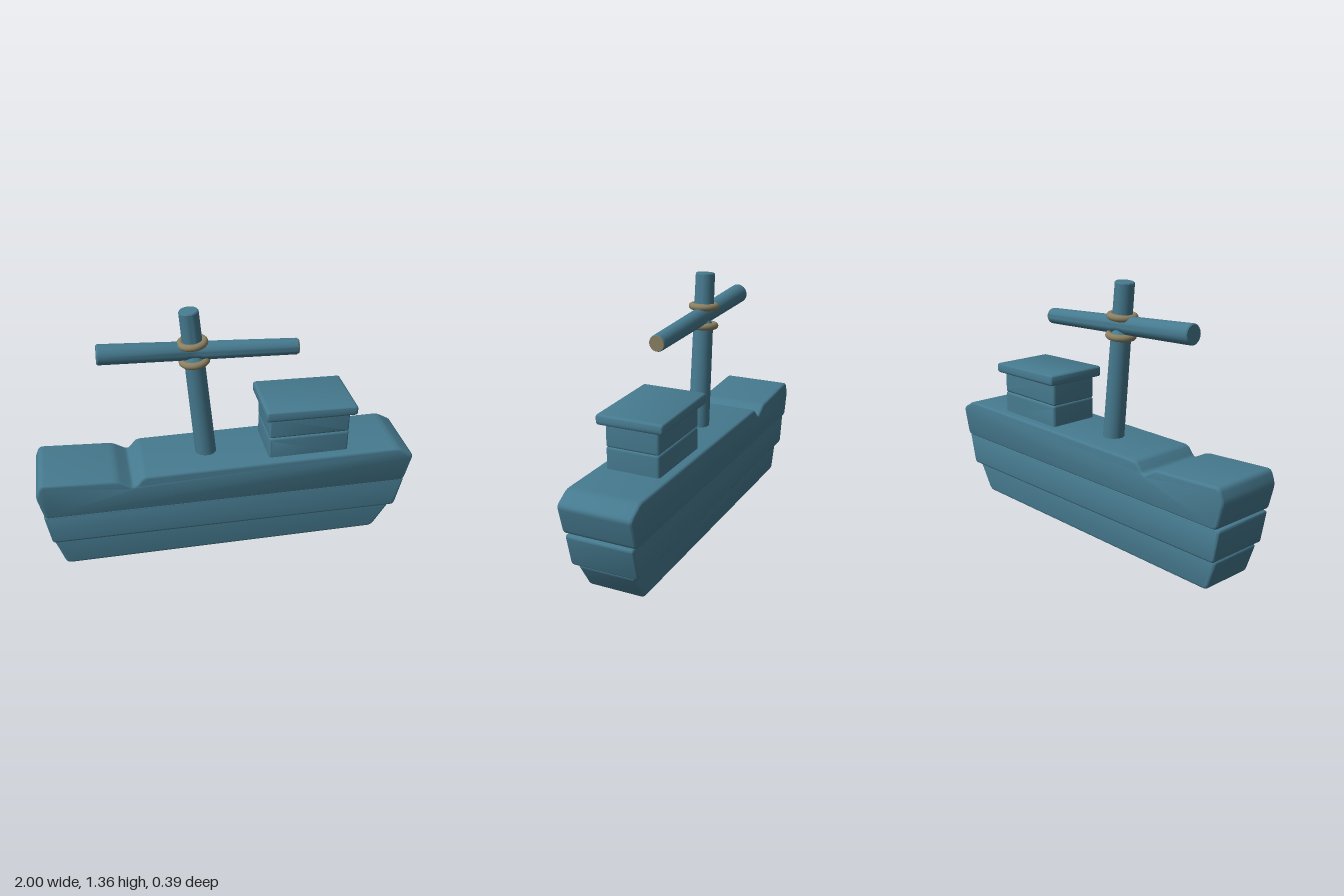
import * as THREE from 'three';
import { toCreasedNormals } from 'three/addons/utils/BufferGeometryUtils.js';

const blue = new THREE.MeshStandardMaterial({ color: 0x467a8f });
blue.name = 'weathered blue';
const tan = new THREE.MeshStandardMaterial({ color: 0x8a8062 });
tan.name = 'rope tan';

function add(parent, name, geometry, material) {
  const mesh = new THREE.Mesh(geometry, material);
  mesh.name = name;
  parent.add(mesh);
  return mesh;
}

// Side profile (counter-clockwise) with softened corners
function roundedShape(points, r) {
  const shape = new THREE.Shape();
  const v = points.map(([x, y]) => new THREE.Vector2(x, y));
  v.forEach((p, i) => {
    const prev = v[(i + v.length - 1) % v.length], next = v[(i + 1) % v.length];
    const a = prev.clone().sub(p).setLength(r).add(p);
    const b = next.clone().sub(p).setLength(r).add(p);
    if (i === 0) shape.moveTo(a.x, a.y);
    else shape.lineTo(a.x, a.y);
    shape.quadraticCurveTo(p.x, p.y, b.x, b.y);
  });
  shape.closePath();
  return shape;
}

// A plank: a profile extruded across the boat with soft edges
function plank(points, zMin, zMax, r = 0.02) {
  const bevel = 0.015;
  const geometry = new THREE.ExtrudeGeometry(roundedShape(points, r), {
    depth: zMax - zMin - 2 * bevel, curveSegments: 5,
    bevelEnabled: true, bevelThickness: bevel, bevelSize: bevel,
    bevelOffset: -bevel, bevelSegments: 4,
  });
  geometry.translate(0, 0, zMin + bevel);
  return toCreasedNormals(geometry, 0.6);
}

// A tapered pole with a carved waist, from one point to another
function pole(from, to, r0, r1, waistAt, waistRadius, waistHalf) {
  const length = from.distanceTo(to);
  const rad = (t) => r0 + (r1 - r0) * t;
  const h = waistHalf / length;
  const profile = [
    [0, 0], [rad(0) - 0.005, 0], [rad(0), 0.006],
    [rad(waistAt - h), (waistAt - h) * length],
    [waistRadius, (waistAt - h * 0.5) * length],
    [waistRadius, (waistAt + h * 0.5) * length],
    [rad(waistAt + h), (waistAt + h) * length],
    [rad(1), length - 0.006], [rad(1) - 0.005, length], [0, length],
  ].map(([x, y]) => new THREE.Vector2(x, y));
  const geometry = toCreasedNormals(new THREE.LatheGeometry(profile, 32), 0.5);
  const dir = to.clone().sub(from).normalize();
  geometry.applyQuaternion(new THREE.Quaternion().setFromUnitVectors(new THREE.Vector3(0, 1, 0), dir));
  return geometry.translate(from.x, from.y, from.z);
}

export function createModel() {
  const model = new THREE.Group();
  model.name = 'boat';

  // Hull: three stacked planks, widening upward
  const hull = new THREE.Group();
  hull.name = 'hull';
  model.add(hull);
  add(hull, 'lowerHull', plank([
    [-0.885, 0.003], [0.82, 0.014], [0.918, 0.169], [-0.942, 0.169],
  ], -0.147, 0.15, 0.025), blue);
  add(hull, 'middleHull', plank([
    [-0.945, 0.168], [0.928, 0.168], [0.971, 0.344], [-0.977, 0.344],
  ], -0.177, 0.178), blue);
  add(hull, 'upperHull', plank([
    [-0.968, 0.343], [0.96, 0.343], [1.002, 0.502], [0.915, 0.552],
    [-0.455, 0.541], [-0.503, 0.481], [-0.585, 0.53], [-0.975, 0.552], [-1.002, 0.48],
  ], -0.192, 0.194, 0.024), blue);

  // Cabin: two courses under an overhanging roof
  const cabin = new THREE.Group();
  cabin.name = 'cabin';
  model.add(cabin);
  const box = (x0, x1, y0, y1) => [[x0, y0], [x1, y0], [x1, y1], [x0, y1]];
  add(cabin, 'lowerCabin', plank(box(0.214, 0.643, 0.51, 0.662), -0.142, 0.143, 0.012), blue);
  add(cabin, 'upperCabin', plank(box(0.214, 0.643, 0.66, 0.79), -0.142, 0.143, 0.012), blue);
  add(cabin, 'cabinRoof', plank([
    [0.188, 0.78], [0.673, 0.775], [0.673, 0.828], [0.188, 0.839],
  ], -0.177, 0.178, 0.018), blue);

  // Leaning mast and the yard lashed across it
  const mastFoot = new THREE.Vector3(-0.097, 0.5, 0);
  const mastTop = new THREE.Vector3(-0.177, 1.358, 0);
  add(model, 'mast', pole(mastFoot, mastTop, 0.056, 0.05, 0.74, 0.036, 0.045), blue);
  const yardLeft = new THREE.Vector3(-0.636, 1.16, 0);
  const yardRight = new THREE.Vector3(0.38, 1.115, 0);
  add(model, 'yard', pole(yardLeft, yardRight, 0.052, 0.042, 0.472, 0.042, 0.045), blue);

  // Bare wood at one end of the yard
  const end = add(model, 'yardEnd', new THREE.CylinderGeometry(0.039, 0.039, 0.004, 32), tan);
  end.position.copy(yardRight);
  end.quaternion.setFromUnitVectors(new THREE.Vector3(0, 1, 0), yardRight.clone().sub(yardLeft).normalize());

  // Rope rings above and below the yard
  const mastDir = mastTop.clone().sub(mastFoot).normalize();
  for (const [name, y] of [['upperRing', 1.184], ['lowerRing', 1.084]]) {
    const ring = add(model, name, new THREE.TorusGeometry(0.062, 0.018, 14, 40), tan);
    ring.position.lerpVectors(mastFoot, mastTop, (y - mastFoot.y) / (mastTop.y - mastFoot.y));
    ring.quaternion.setFromUnitVectors(new THREE.Vector3(0, 0, 1), mastDir);
  }
  return model;
}
